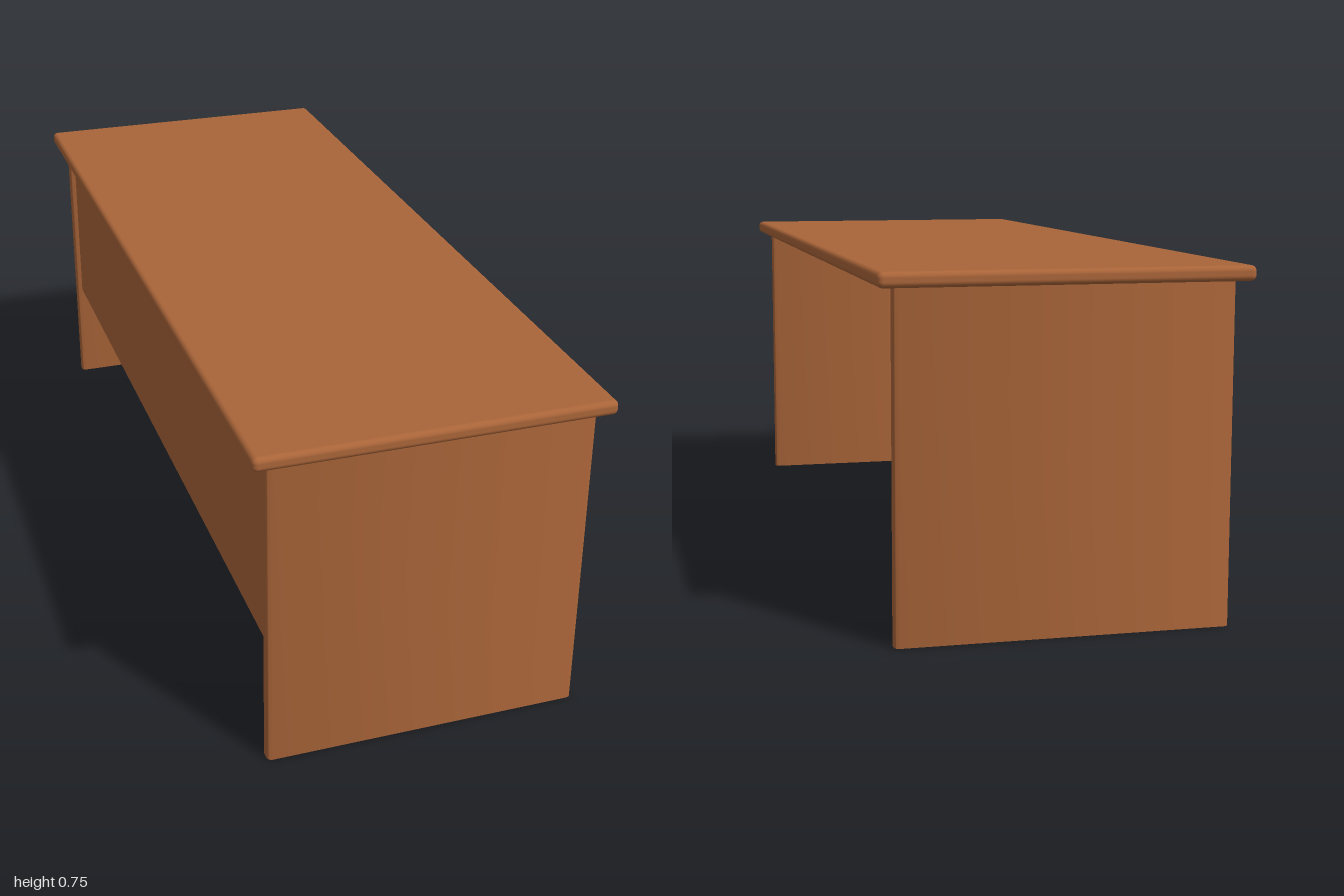
import * as THREE from 'three';
import { RoundedBoxGeometry } from 'three/addons/geometries/RoundedBoxGeometry.js';
import { toCreasedNormals } from 'three/addons/utils/BufferGeometryUtils.js';

const TOP_Y = 0.75, TOP_T = 0.032, UNDER = TOP_Y - TOP_T;

// Upright slab with rounded vertical edges, standing on y = 0
function roundedSlab(w, d, h, r) {
  const x = w / 2, y = d / 2, q = Math.PI / 2;
  const s = new THREE.Shape();
  s.absarc(x - r, y - r, r, 0, q);
  s.absarc(-x + r, y - r, r, q, 2 * q);
  s.absarc(-x + r, -y + r, r, 2 * q, 3 * q);
  s.absarc(x - r, -y + r, r, 3 * q, 4 * q);
  s.closePath();
  const geo = new THREE.ExtrudeGeometry(s, { depth: h, bevelEnabled: false, curveSegments: 6 });
  geo.rotateX(-Math.PI / 2);
  return toCreasedNormals(geo, 0.6);
}

export function createModel() {
  const group = new THREE.Group();
  group.name = 'desk';
  const wood = new THREE.MeshStandardMaterial({ color: 0xaa6539 });
  wood.name = 'brown wood';

  const add = (name, geo, x, y, z) => {
    const mesh = new THREE.Mesh(geo, wood);
    mesh.name = name;
    mesh.position.set(x, y, z);
    group.add(mesh);
  };

  // Worktop with softened edges
  add('deskTop', new RoundedBoxGeometry(0.774, TOP_T, 2, 4, 0.012), 0, TOP_Y - TOP_T / 2, 0);

  // Panel legs at both ends
  const leg = roundedSlab(0.706, 0.036, UNDER, 0.012);
  add('frontLeg', leg, 0, 0, 0.957);
  add('backLeg', leg, 0, 0, -0.957);

  // Modesty panel set just inside one long edge
  const bottom = 0.27;
  add('modestyPanel', new THREE.BoxGeometry(0.023, UNDER - bottom, 1.88), -0.328, (UNDER + bottom) / 2, 0);

  return group;
}
